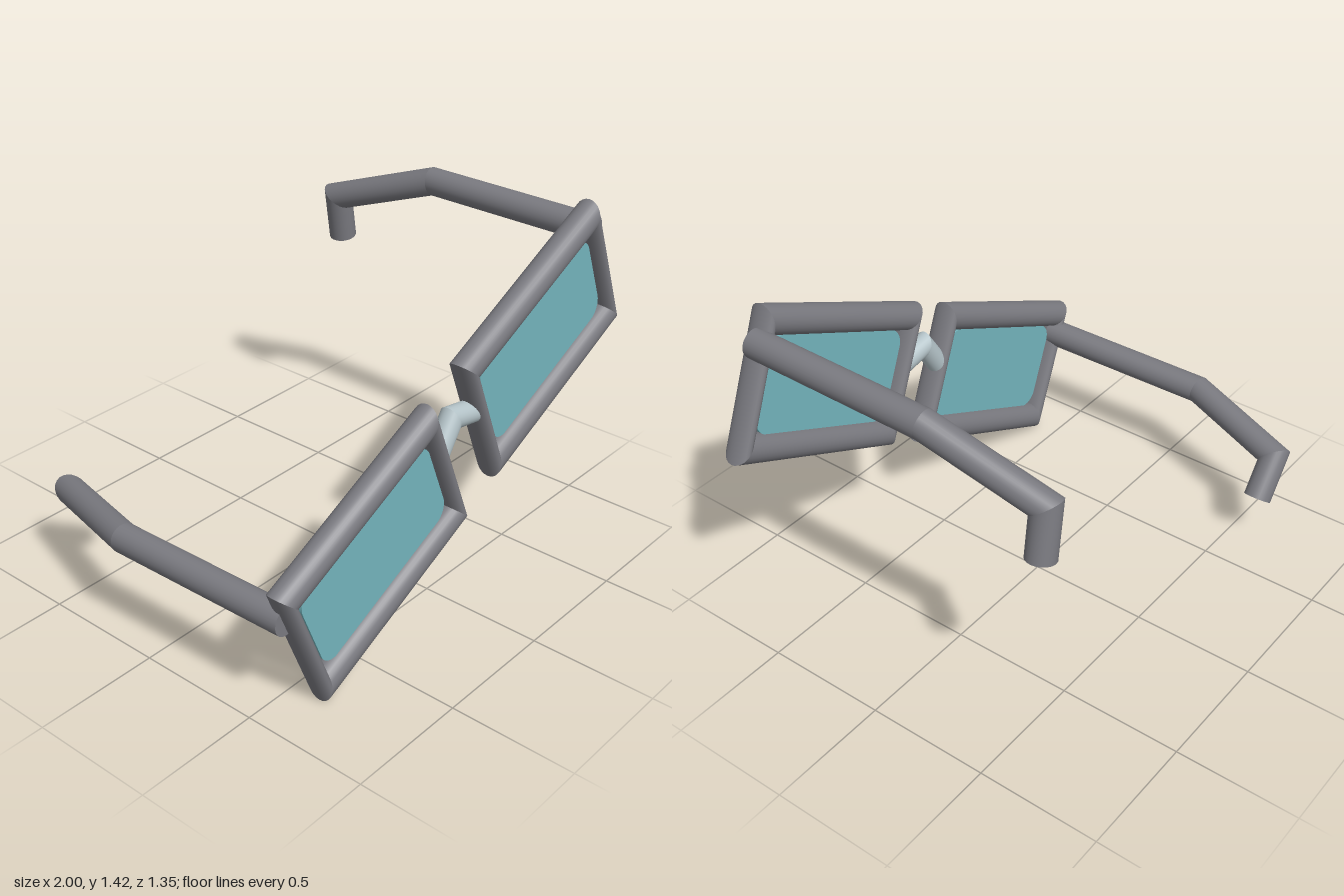
import * as THREE from 'three';

const V3 = (x, y, z) => new THREE.Vector3(x, y, z);
const SIDES = 24;
const FRONT_Z = 0.62;

// Half edges of one slanted rim
const U = V3(0.4, 0.1925, 0);
const V = V3(-0.115, 0.28, 0);

// Skins pairs of rings; every section keeps its own vertices so the mitres stay sharp
function skin(sections, caps = []) {
  const pos = [], index = [];
  const add = (p) => pos.push(p.x, p.y, p.z) / 3 - 1;
  for (const [A, B] of sections) {
    const a = A.map(add), b = B.map(add);
    for (let j = 0; j < SIDES; j++) {
      const k = (j + 1) % SIDES;
      index.push(a[j], a[k], b[k], a[j], b[k], b[j]);
    }
  }
  for (const [ring, flip] of caps) {
    const r = ring.map(add);
    for (let j = 1; j < SIDES - 1; j++) {
      if (flip) index.push(r[0], r[j + 1], r[j]);
      else index.push(r[0], r[j], r[j + 1]);
    }
  }
  const g = new THREE.BufferGeometry();
  g.setAttribute('position', new THREE.Float32BufferAttribute(pos, 3));
  g.setIndex(index);
  g.computeVertexNormals();
  return g;
}

// Round rod along a polyline, mitred at each bend and capped at both ends
function bentRod(coords, radius) {
  const pts = coords.map((c) => V3(...c));
  const dirs = pts.slice(1).map((p, i) => p.clone().sub(pts[i]).normalize());
  const u = V3(1, 0.2, 0.1).cross(dirs[0]).normalize();
  const v = dirs[0].clone().cross(u);
  const first = Array.from({ length: SIDES }, (_, j) => {
    const t = (j / SIDES) * Math.PI * 2;
    return pts[0].clone().addScaledVector(u, radius * Math.cos(t)).addScaledVector(v, radius * Math.sin(t));
  });
  const sections = [];
  let ring = first;
  dirs.forEach((d, i) => {
    // Slide the ring along the rod until it meets the mitre plane
    const m = d.clone().add(dirs[i + 1] ?? d).normalize();
    const next = ring.map((p) =>
      p.clone().addScaledVector(d, pts[i + 1].clone().sub(p).dot(m) / d.dot(m)));
    sections.push([ring, next]);
    ring = next;
  });
  return skin(sections, [[first, true], [ring, false]]);
}

// Slanted rim: rounded bars with mitred corners, short bars slimmer than long ones
function rimGeometry() {
  const slim = 0.03, thick = 0.057;
  const rings = [[-1, -1], [1, -1], [1, 1], [-1, 1]].map(([su, sv]) =>
    Array.from({ length: SIDES }, (_, j) => {
      const t = (j / SIDES) * Math.PI * 2;
      const inset = 1 - Math.cos(t);
      return V3(0, 0, -thick * Math.sin(t))
        .addScaledVector(U, su * (1 - (slim * inset) / U.length()))
        .addScaledVector(V, sv * (1 - (thick * inset) / V.length()));
    }));
  return skin(rings.map((r, i) => [r, rings[(i + 1) % 4]]));
}

// Flat lens with rounded corners, slanted like the rim
function lensGeometry() {
  const a = 0.373, b = 0.192, r = 0.07, depth = 0.03;
  const s = new THREE.Shape();
  s.absarc(a - r, b - r, r, 0, Math.PI / 2);
  s.absarc(r - a, b - r, r, Math.PI / 2, Math.PI);
  s.absarc(r - a, r - b, r, Math.PI, Math.PI * 1.5);
  s.absarc(a - r, r - b, r, Math.PI * 1.5, Math.PI * 2);
  const g = new THREE.ExtrudeGeometry(s, { depth, bevelEnabled: false, curveSegments: 8 });
  g.translate(0, 0, -depth / 2);
  g.applyMatrix4(new THREE.Matrix4().makeBasis(U.clone().normalize(), V.clone().normalize(), V3(0, 0, 1)));
  return g;
}

export function createModel() {
  const frameGrey = new THREE.MeshStandardMaterial({ color: 0x7a7a80 });
  frameGrey.name = 'frame grey';
  const lensTeal = new THREE.MeshStandardMaterial({ color: 0x74b5bd });
  lensTeal.name = 'lens teal';
  const bridgeSilver = new THREE.MeshStandardMaterial({ color: 0xb5c4c9 });
  bridgeSilver.name = 'bridge silver';

  const model = new THREE.Group();
  model.name = 'glasses';
  const add = (name, geometry, material, position = [0, 0, 0]) => {
    const mesh = new THREE.Mesh(geometry, material);
    mesh.name = name;
    mesh.position.set(...position);
    model.add(mesh);
  };

  // Rims and lenses
  const rim = rimGeometry(), lens = lensGeometry();
  for (const [side, x, y] of [['right', -0.485, 0.475], ['left', 0.48, 0.946]]) {
    add(side + 'Rim', rim, frameGrey, [x, y, FRONT_Z]);
    add(side + 'Lens', lens, lensTeal, [x, y, FRONT_Z]);
  }

  // Bridge between the rims
  add('bridge', bentRod([[-0.13, 0.70, 0.615], [-0.048, 0.826, 0.615], [0.09, 0.802, 0.615]], 0.045), bridgeSilver);

  // Temples with hooked tips
  add('leftTemple', bentRod([
    [0.815, 1.283, 0.62], [0.825, 1.28, -0.155], [0.765, 1.12, -0.61], [0.8, 0.93, -0.615],
  ], 0.057), frameGrey);
  add('rightTemple', bentRod([
    [-0.932, 0.435, 0.62], [-0.945, 0.43, -0.155], [-0.8, 0.37, -0.615], [-0.69, 0.22, -0.615],
  ], 0.057), frameGrey);

  return model;
}
